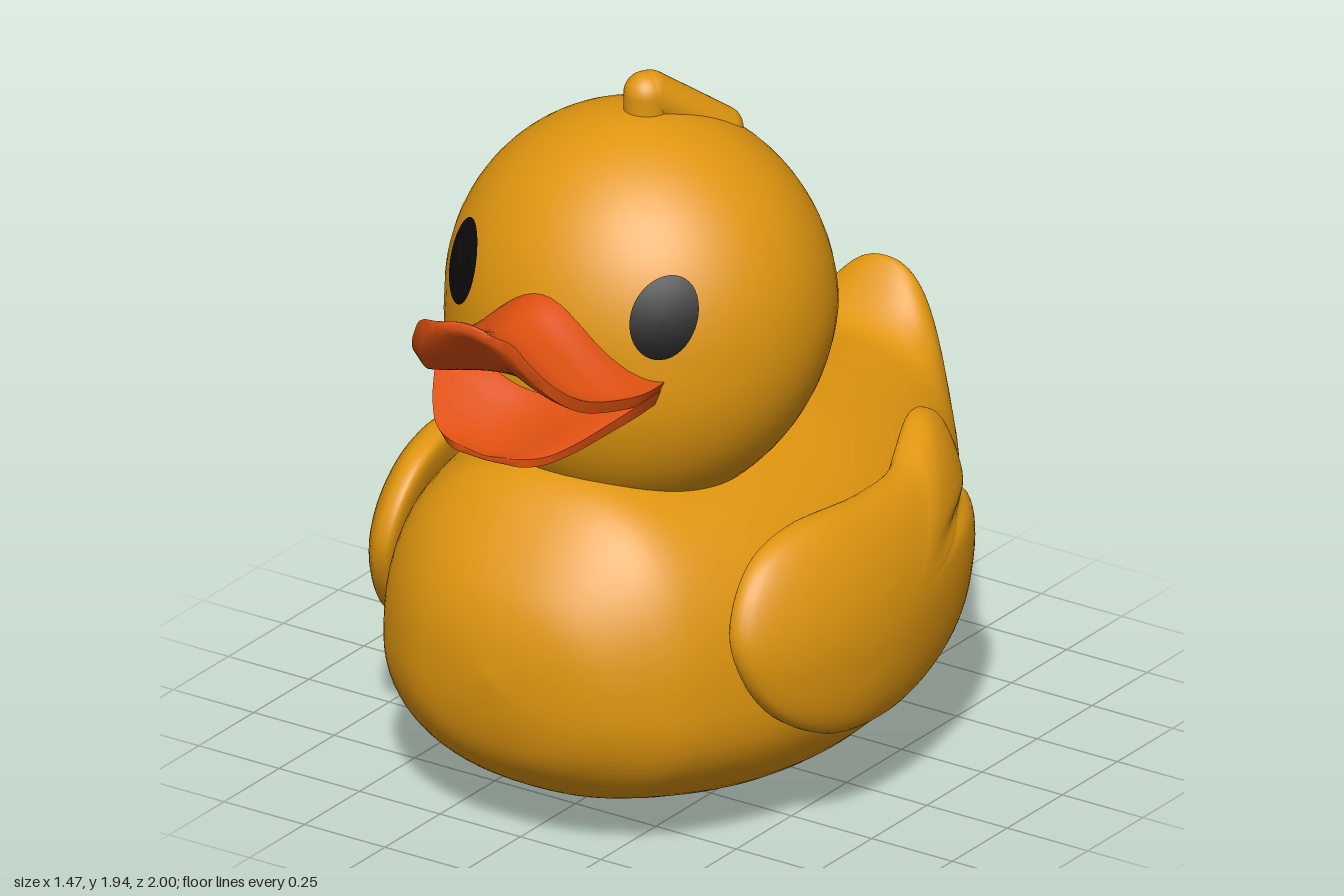
import * as THREE from 'three';
import { mergeVertices, toCreasedNormals } from 'three/addons/utils/BufferGeometryUtils.js';

const mat = (name, color, extra = {}) => Object.assign(new THREE.MeshStandardMaterial({ color, ...extra }), { name });

// Smoothly interpolates rows of numbers, t from 0 to 1
function sample(rows, t) {
  const n = rows.length - 1;
  const k = Math.min(Math.floor(t * n), n - 1);
  const f = t * n - k;
  const [a, b, c, d] = [k - 1, k, k + 1, k + 2].map((i) => rows[Math.max(0, Math.min(n, i))]);
  return b.map((p, i) => {
    const m0 = (c[i] - a[i]) / 2, m1 = (d[i] - p) / 2;
    const q = c[i];
    return p + m0 * f + (3 * (q - p) - 2 * m0 - m1) * f * f + (2 * (p - q) + m0 + m1) * f ** 3;
  });
}

// Surface from a grid of points; seams are welded and collapsed triangles dropped
function gridGeometry(nu, nv, point, flip = false) {
  const pos = [], index = [];
  for (let i = 0; i <= nu; i++) for (let j = 0; j <= nv; j++) pos.push(...point(i / nu, j / nv));
  for (let i = 0; i < nu; i++) {
    for (let j = 0; j < nv; j++) {
      const a = i * (nv + 1) + j, b = a + nv + 1;
      if (flip) index.push(a, b + 1, b, a, a + 1, b + 1);
      else index.push(a, b, b + 1, a, b + 1, a + 1);
    }
  }
  const raw = new THREE.BufferGeometry();
  raw.setAttribute('position', new THREE.Float32BufferAttribute(pos, 3));
  raw.setIndex(index);
  const geo = mergeVertices(raw, 1e-4);
  const src = geo.index.array, clean = [];
  for (let i = 0; i < src.length; i += 3) {
    const [a, b, c] = [src[i], src[i + 1], src[i + 2]];
    if (a !== b && b !== c && a !== c) clean.push(a, b, c);
  }
  geo.setIndex(clean);
  geo.computeVertexNormals();
  return geo;
}

// Body stations: z, bottom, top, height of widest point, half width
const BODY = [
  [0.9, 0.5, 0.5, 0.5, 0], [0.88, 0.36, 0.64, 0.49, 0.15], [0.83, 0.24, 0.76, 0.47, 0.3],
  [0.72, 0.14, 0.9, 0.44, 0.44], [0.6, 0.09, 0.98, 0.42, 0.52], [0.4, 0.04, 0.985, 0.41, 0.6],
  [0.2, 0.01, 0.98, 0.41, 0.635], [0, 0.003, 0.97, 0.41, 0.64], [-0.2, 0.012, 0.96, 0.42, 0.61],
  [-0.4, 0.04, 0.93, 0.45, 0.55], [-0.6, 0.1, 0.9, 0.51, 0.44], [-0.72, 0.18, 0.89, 0.56, 0.36],
  [-0.8, 0.25, 0.93, 0.6, 0.29], [-0.87, 0.35, 1.0, 0.67, 0.215], [-0.91, 0.42, 1.02, 0.71, 0.165],
  [-0.95, 0.51, 0.96, 0.73, 0.115], [-0.985, 0.62, 0.86, 0.74, 0.055], [-1, 0.74, 0.74, 0.74, 0],
];
const sp = (v, e) => Math.sign(v) * Math.abs(v) ** e;
function bodyPoint(u, v) {
  const [z, bot, top, mid, w] = sample(BODY, u);
  const a = v * Math.PI * 2, s = Math.sin(a), e = 0.88;
  return [w * sp(Math.cos(a), e), mid + sp(s, e) * (s > 0 ? top - mid : mid - bot), z];
}

// Head: slightly squashed ball whose lower half leans forward
const HEAD = { y: 1.32, z: 0.2, rx: 0.52, ry: 0.525, rz: 0.475 };
const lean = (y) => Math.max(0, HEAD.y - y) * 0.14;
function headGeometry() {
  const geo = new THREE.SphereGeometry(1, 64, 40);
  geo.scale(HEAD.rx, HEAD.ry, HEAD.rz).translate(0, HEAD.y, HEAD.z);
  const p = geo.attributes.position;
  for (let i = 0; i < p.count; i++) p.setZ(i, p.getZ(i) + lean(p.getY(i)));
  geo.computeVertexNormals();
  return geo;
}

// Eye: thin oval laid over the head's curve
function eyeGeometry(side) {
  const geo = new THREE.RingGeometry(0, 1, 40, 6);
  geo.scale(0.07, 0.106, 1).rotateZ(side * 0.08).translate(side * 0.312, 1.47, 0);
  const p = geo.attributes.position;
  for (let i = 0; i < p.count; i++) {
    const x = p.getX(i), y = p.getY(i);
    const k = 1 - (x / HEAD.rx) ** 2 - ((y - HEAD.y) / HEAD.ry) ** 2;
    p.setZ(i, HEAD.z + lean(y) + HEAD.rz * Math.sqrt(k) + 0.009);
  }
  geo.computeVertexNormals();
  return geo;
}

// Bill stations: z, half width, top centre, top edge, bottom centre, bottom edge
const UPPER_BILL = [
  [0.56, 0.325, 1.5, 1.3, 1.27, 1.265], [0.66, 0.325, 1.49, 1.3, 1.28, 1.265],
  [0.75, 0.29, 1.46, 1.305, 1.3, 1.27], [0.84, 0.255, 1.46, 1.33, 1.35, 1.295],
  [0.92, 0.22, 1.49, 1.39, 1.42, 1.355], [0.97, 0.18, 1.525, 1.46, 1.475, 1.425],
  [0.995, 0.13, 1.54, 1.52, 1.505, 1.485], [1, 0, 1.52, 1.52, 1.52, 1.52],
];
const LOWER_BILL = [
  [0.56, 0.32, 1.27, 1.28, 1.1, 1.24], [0.66, 0.315, 1.24, 1.27, 1.09, 1.23],
  [0.74, 0.275, 1.19, 1.235, 1.09, 1.2], [0.82, 0.225, 1.155, 1.195, 1.105, 1.165],
  [0.88, 0.17, 1.14, 1.165, 1.12, 1.14], [0.912, 0.1, 1.14, 1.152, 1.125, 1.13],
  [0.915, 0, 1.138, 1.138, 1.138, 1.138],
];
function billGeometry(rows) {
  const geo = gridGeometry(28, 48, (u, v) => {
    const [z, w, topC, topE, botC, botE] = sample(rows, u);
    const onTop = v <= 0.5;
    // The ring runs across the top, returns underneath and closes at its start
    const x = v === 1 ? -1 : onTop ? v * 4 - 1 : Math.min(1, 3 - v * 4 + 2 / 48);
    const bell = 0.5 + 0.5 * Math.cos(Math.PI * x);
    const up = onTop || v === 1;
    const y = up ? topE + (topC - topE) * bell : botE + (botC - botE) * bell;
    return [Math.max(0, w) * x, y, z];
  });
  return toCreasedNormals(geo, 0.9);
}

// Wing outline as z, y, from the front over the top to the feather tips
const WING = [
  [0.58, 0.62], [0.54, 0.73], [0.45, 0.815], [0.3, 0.855], [0, 0.835], [-0.2, 0.83], [-0.31, 0.865],
  [-0.41, 0.885], [-0.49, 0.85], [-0.515, 0.75], [-0.5, 0.69], [-0.46, 0.665], [-0.53, 0.635], [-0.55, 0.55],
  [-0.48, 0.42], [-0.35, 0.34], [-0.1, 0.28], [0.1, 0.265], [0.3, 0.29], [0.46, 0.38], [0.55, 0.5],
];
function wingGeometry(side) {
  const loop = new THREE.CatmullRomCurve3(WING.map(([z, y]) => new THREE.Vector3(0, y, z)), true);
  return gridGeometry(32, 96, (u, v) => {
    const rim = loop.getPoint(v % 1);
    const s = u === 1 ? 0 : Math.sin(u * Math.PI);
    const z = 0.02 + (rim.z - 0.02) * s, y = 0.58 + (rim.y - 0.58) * s;
    // The plate bends in towards the back, the front and the shoulder
    const bend = (z < 0.15 ? 0.33 : 0.5) * (z - 0.15) ** 2 + 0.7 * Math.max(0, y - 0.5) ** 2
      + 0.3 * Math.max(0, 0.45 - y) ** 2;
    // A shallow groove parts the feather tips
    const groove = 0.025 * Math.exp(-(((y - 0.66) / 0.03) ** 2)) * THREE.MathUtils.smoothstep(-z, 0.1, 0.4) * (1 - s ** 6);
    const thick = sp(Math.cos(u * Math.PI), 0.7) * 0.088;
    return [side * (0.652 - bend + thick - (u < 0.5 ? groove : 0)), y, z];
  }, side > 0);
}

// Rounded rod between two points
function rod(from, to, radius) {
  const a = new THREE.Vector3(...from), b = new THREE.Vector3(...to);
  const dir = b.clone().sub(a);
  const geo = new THREE.CapsuleGeometry(radius, dir.length(), 10, 24);
  geo.applyQuaternion(new THREE.Quaternion().setFromUnitVectors(new THREE.Vector3(0, 1, 0), dir.normalize()));
  return geo.translate(...a.add(b).multiplyScalar(0.5).toArray());
}

export function createModel() {
  const yellow = mat('duck yellow', 0xe0960f);
  const orange = mat('bill orange', 0xde5010);
  const black = mat('eye black', 0x0c0c0c);

  const duck = new THREE.Group();
  duck.name = 'duck';
  const add = (name, geo, material) => {
    const mesh = new THREE.Mesh(geo, material);
    mesh.name = name;
    duck.add(mesh);
  };

  add('body', gridGeometry(90, 64, bodyPoint), yellow);
  add('head', headGeometry(), yellow);

  // Tuft curling back and to the side
  add('tuftTip', rod([0, 1.78, 0.18], [0, 1.885, 0.18], 0.058), yellow);
  add('tuftTail', rod([0.005, 1.885, 0.17], [0.11, 1.75, 0], 0.058), yellow);

  add('upperBill', billGeometry(UPPER_BILL), orange);
  add('lowerBill', billGeometry(LOWER_BILL), orange);

  for (const [label, side] of [['left', 1], ['right', -1]]) {
    add(label + 'Eye', eyeGeometry(side), black);
    add(label + 'Wing', wingGeometry(side), yellow);
  }
  return duck;
}
